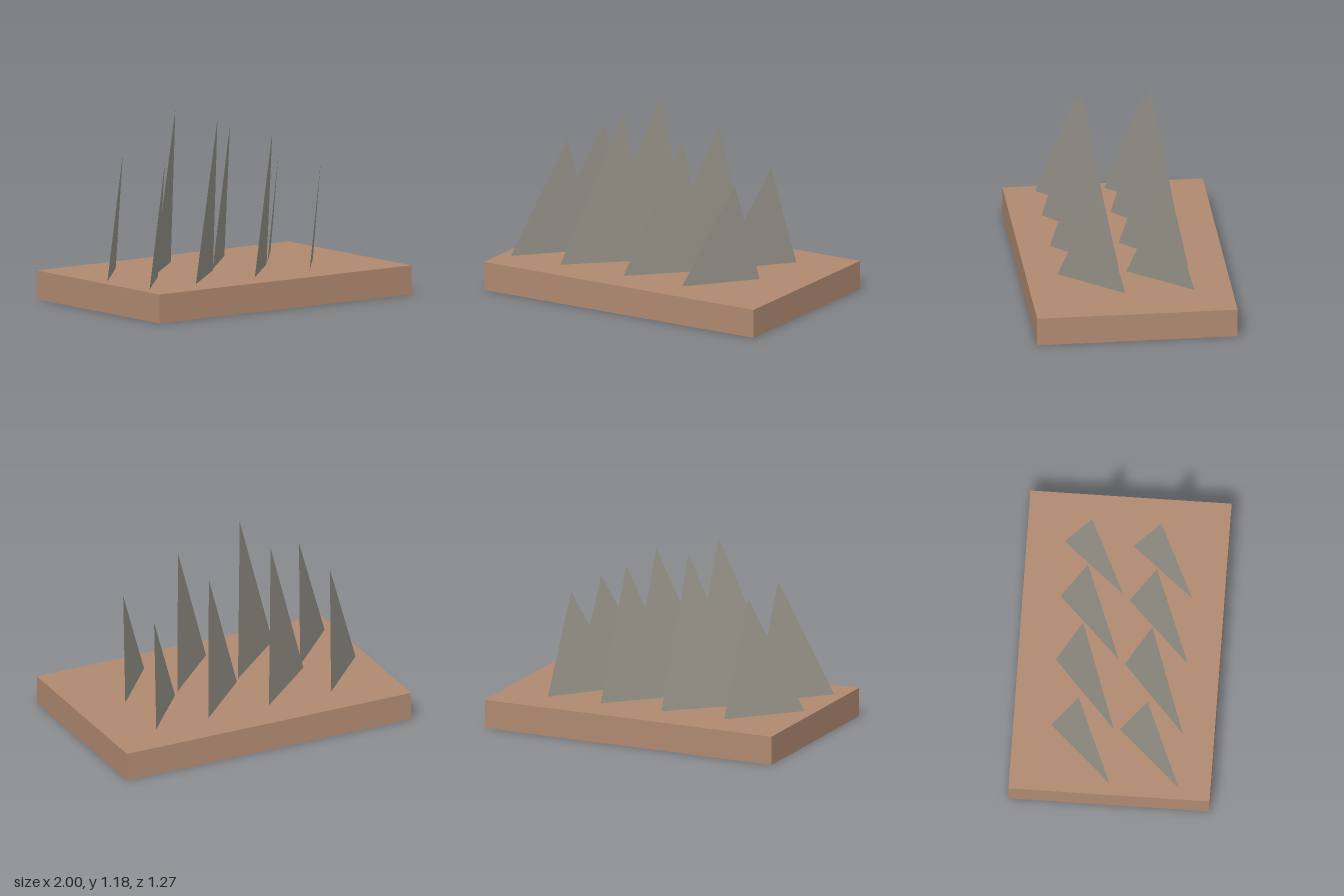
import * as THREE from 'three';

const BASE_TOP = 0.184;

export function createModel() {
  const model = new THREE.Group();
  model.name = 'spikedBoard';

  const brown = new THREE.MeshStandardMaterial({ color: 0xb18a71 });
  brown.name = 'clayBrown';
  const grey = new THREE.MeshStandardMaterial({ color: 0x97948a, side: THREE.DoubleSide });
  grey.name = 'stoneGrey';

  // Flat slab
  const slab = new THREE.Mesh(new THREE.BoxGeometry(2, BASE_TOP, 1.27), brown);
  slab.name = 'baseSlab';
  slab.position.y = BASE_TOP / 2;
  model.add(slab);

  // One thin triangular blade: two base corners and a leaning tip
  function blade(xFront, xBack, xTip, yTip) {
    const geometry = new THREE.BufferGeometry();
    geometry.setAttribute('position', new THREE.Float32BufferAttribute([
      xFront, BASE_TOP, 0.216,
      xBack, BASE_TOP, -0.18,
      xTip, yTip, 0,
    ], 3));
    geometry.computeVertexNormals();
    return new THREE.Mesh(geometry, grey);
  }

  // Front corner x, back corner x, tip x, tip height
  const blades = [
    [-0.925, -0.555, -0.637, 0.943],
    [-0.558, -0.118, -0.22, 1.18],
    [-0.09, 0.308, 0.215, 1.054],
    [0.345, 0.675, 0.6, 0.835],
  ];

  // Two identical rows
  for (const [row, z] of [['front', 0.219], ['back', -0.217]]) {
    const group = new THREE.Group();
    group.name = `${row}BladeRow`;
    group.position.z = z;
    blades.forEach((b, i) => {
      const mesh = blade(...b);
      mesh.name = `${row}Blade${i + 1}`;
      group.add(mesh);
    });
    model.add(group);
  }

  return model;
}
